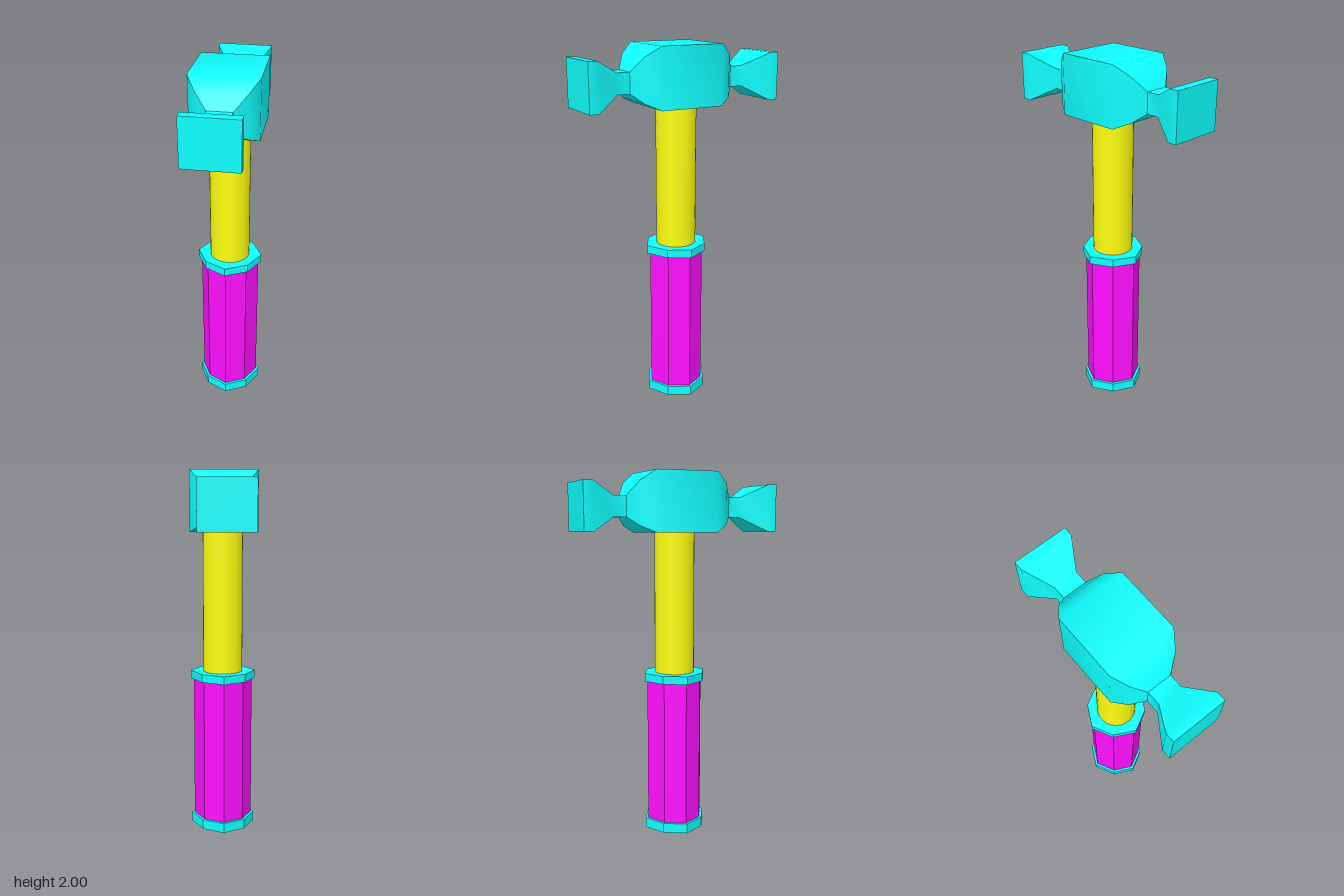
import * as THREE from 'three';
import { toCreasedNormals } from 'three/addons/utils/BufferGeometryUtils.js';

const CYAN = 0x10ffff, YELLOW = 0xffff10, MAGENTA = 0xff10ff;

function part(name, geometry, color, flatShading = false) {
  const mesh = new THREE.Mesh(geometry, new THREE.MeshStandardMaterial({ color, flatShading }));
  mesh.name = name;
  return mesh;
}

// Eight-sided prism standing on y0, with its diagonal corners drawn in slightly
function octagonPrism(radius, y0, y1) {
  const geo = new THREE.CylinderGeometry(radius, radius, y1 - y0, 8);
  const pos = geo.attributes.position;
  for (let i = 0; i < pos.count; i++) {
    const x = pos.getX(i), z = pos.getZ(i);
    const k = Math.abs(x * z) > 1e-4 ? 0.93 : 1;
    pos.setXYZ(i, x * k, pos.getY(i), z * k);
  }
  geo.translate(0, (y0 + y1) / 2, 0);
  return geo;
}

// Rectangular sections [z, half width, bottom, top] joined along z, ends closed
function loftAlongZ(sections) {
  const verts = [], index = [];
  for (const [z, h, b, t] of sections) verts.push(h, b, z, h, t, z, -h, t, z, -h, b, z);
  for (let i = 0; i < sections.length - 1; i++) {
    for (let j = 0; j < 4; j++) {
      const a = i * 4 + j, b = i * 4 + (j + 1) % 4;
      index.push(a, b, b + 4, a, b + 4, a + 4);
    }
  }
  const e = (sections.length - 1) * 4;
  index.push(0, 2, 1, 0, 3, 2, e, e + 1, e + 2, e, e + 2, e + 3);
  const geo = new THREE.BufferGeometry();
  geo.setAttribute('position', new THREE.Float32BufferAttribute(verts, 3));
  geo.setIndex(index);
  return toCreasedNormals(geo, 0.7);
}

export function createModel() {
  const group = new THREE.Group();
  group.name = 'hammer';

  // Handle: octagonal grip between two collars, round shaft above
  group.add(part('bottomCollar', octagonPrism(0.18, 0, 0.055), CYAN, true));
  group.add(part('grip', octagonPrism(0.164, 0.055, 0.86), MAGENTA, true));
  group.add(part('topCollar', octagonPrism(0.18, 0.86, 0.905), CYAN, true));
  const shaft = new THREE.CylinderGeometry(0.11, 0.11, 0.8, 32);
  shaft.translate(0, 1.3, 0);
  group.add(part('shaft', shaft, YELLOW));

  // Head: block with bevelled ends, narrow necks and flared striking faces
  const half = [
    [0.175, 0.18, 1.68, 2.0],
    [0.25, 0.13, 1.715, 1.945],
    [0.30, 0.065, 1.76, 1.87],
    [0.37, 0.065, 1.76, 1.87],
    [0.505, 0.145, 1.685, 1.94],
    [0.555, 0.145, 1.685, 1.94],
  ];
  const mirrored = half.map(([z, ...rest]) => [-z, ...rest]).reverse();
  group.add(part('head', loftAlongZ([...mirrored, ...half]), CYAN));

  return group;
}
